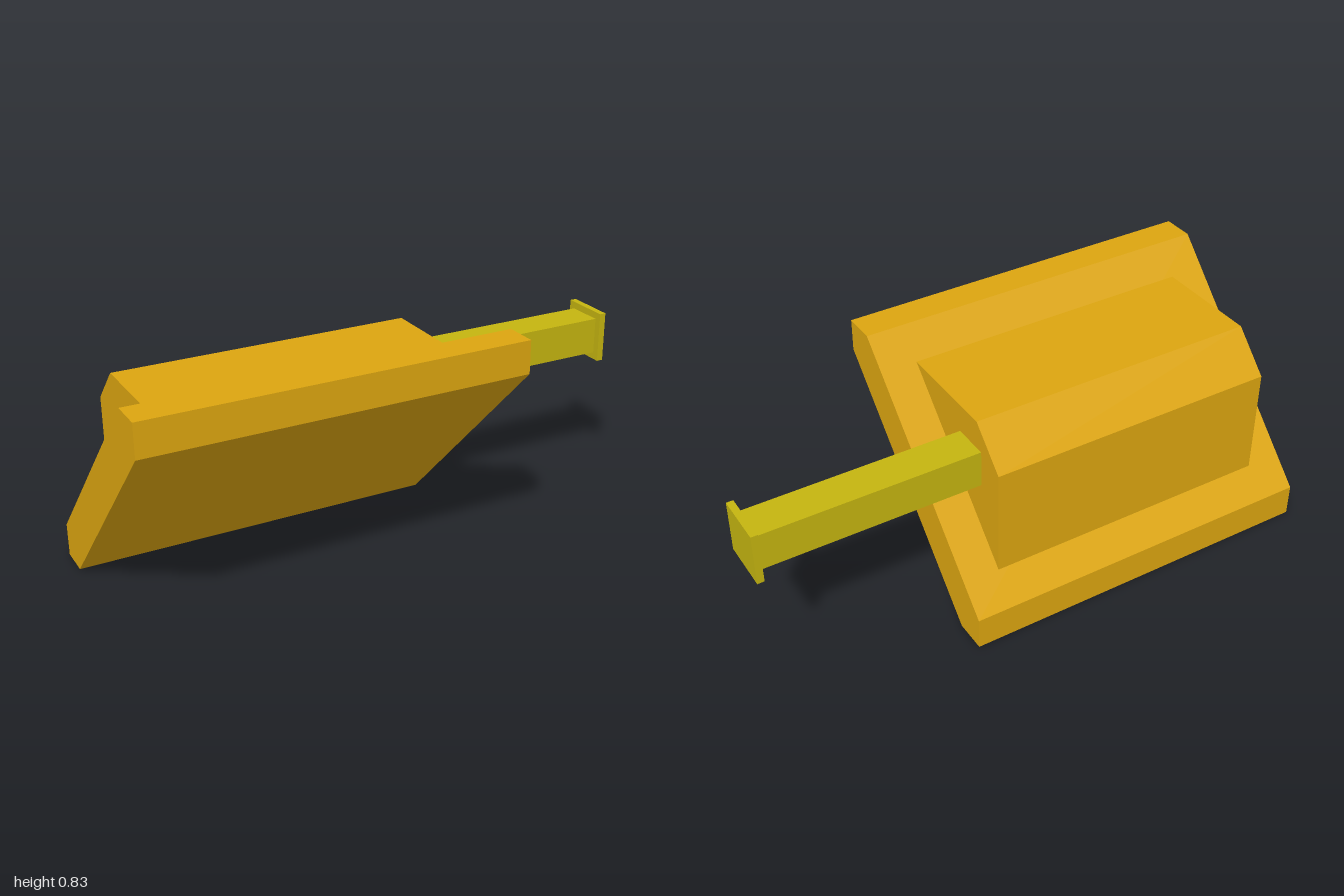
import * as THREE from 'three';

const orange = new THREE.MeshStandardMaterial({ color: 0xdca510 });
orange.name = 'amber';
const olive = new THREE.MeshStandardMaterial({ color: 0xc4b410 });
olive.name = 'olive yellow';

// Side profile given as [z, y] points, extruded along x from x0 to x1
function prism(name, profile, x0, x1, material) {
  const shape = new THREE.Shape(profile.map(([z, y]) => new THREE.Vector2(-z, y)));
  const geometry = new THREE.ExtrudeGeometry(shape, { depth: x1 - x0, bevelEnabled: false });
  geometry.rotateY(Math.PI / 2).translate(x0, 0, 0);
  const mesh = new THREE.Mesh(geometry, material);
  mesh.name = name;
  return mesh;
}

// Square bar along x, centred on the arm axis
function bar(name, size, x0, x1, material) {
  const mesh = new THREE.Mesh(new THREE.BoxGeometry(x1 - x0, size, size), material);
  mesh.position.set((x0 + x1) / 2, 0.568, -0.149);
  mesh.name = name;
  return mesh;
}

export function createModel() {
  const model = new THREE.Group();
  model.name = 'slopedPanelWithArm';

  // Sloped slab with upright top and bottom edges
  model.add(prism('slopedSlab', [
    [0.415, 0.717], [0.415, 0.834], [0.299, 0.834],
    [-0.415, 0.119], [-0.415, 0], [-0.299, 0],
  ], -1, 0.332, orange));

  // Chamfered housing on the back of the slab
  model.add(prism('housing', [
    [0.206, 0.74], [-0.189, 0.74], [-0.322, 0.607], [-0.322, 0.212],
  ], -0.867, 0.2, orange));

  // Side arm and its end plate
  model.add(bar('arm', 0.134, 0.2, 0.976, olive));
  model.add(bar('armEndPlate', 0.186, 0.976, 1, olive));

  return model;
}
